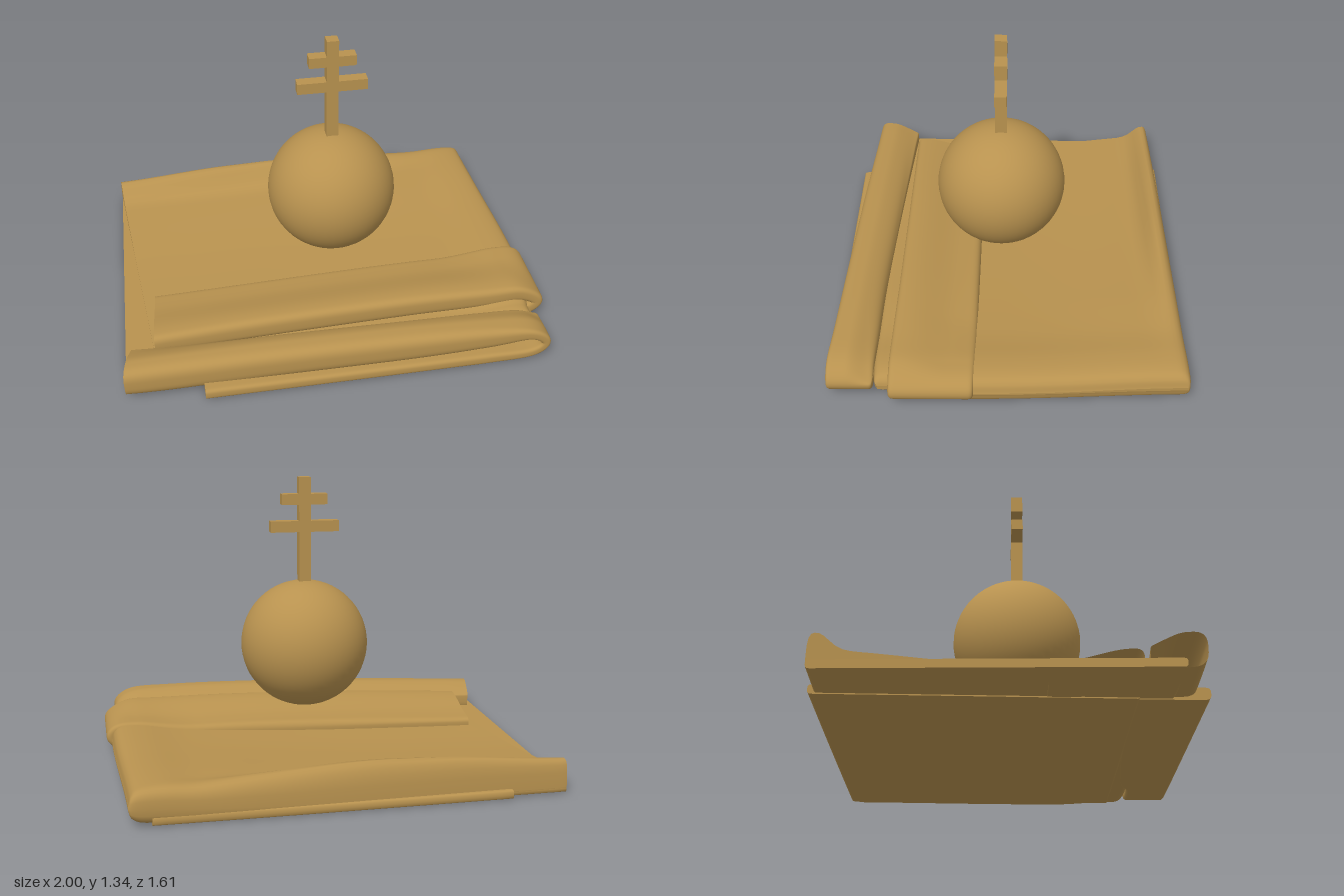
import * as THREE from 'three';

const material = new THREE.MeshStandardMaterial({ color: 0xb8924f, side: THREE.DoubleSide });

// Lofts a soft rounded cloth layer along a path in the x-y plane.
// Station: [x, y, half thickness, z start, z end]; deform(point, side) shapes it further.
// capRows lists the ends to close: 0 for the start, the step count for the end.
function clothLayer(name, stations, steps, capRows, deform) {
  const path = new THREE.CatmullRomCurve3(stations.map(s => new THREE.Vector3(s[0], s[1], s[2])), false, 'catmullrom', 0.5);
  const width = new THREE.CatmullRomCurve3(stations.map(s => new THREE.Vector3(s[3], s[4], 0)), false, 'catmullrom', 0.5);
  const n = 44, ring = 2 * n, positions = [], index = [];
  const p = new THREE.Vector3();
  for (let i = 0; i <= steps; i++) {
    const t = i / steps;
    const c = path.getPoint(t), w = width.getPoint(t), tan = path.getTangent(t);
    const len = Math.hypot(tan.x, tan.y) || 1;
    const nx = -tan.y / len, ny = tan.x / len;
    const half = Math.max(c.z, 0.001);
    for (let j = 0; j < ring; j++) {
      const side = j < n ? 1 : -1;
      const k = j < n ? j / n : 1 - (j - n) / n;
      const z = THREE.MathUtils.lerp(w.x, w.y, (1 - Math.cos(Math.PI * k)) / 2);
      const d = Math.min(z - w.x, w.y - z, half);
      const edge = Math.cbrt(Math.max(0, 1 - ((half - d) / half) ** 3));
      const off = side * half * edge;
      p.set(c.x + nx * off, c.y + ny * off, z);
      deform(p, side * edge);
      positions.push(p.x, p.y, p.z);
    }
  }
  for (let i = 0; i < steps; i++) {
    for (let j = 0; j < ring; j++) {
      const a = i * ring + j, b = i * ring + (j + 1) % ring;
      index.push(a, b, a + ring, b, b + ring, a + ring);
    }
  }
  for (const row of capRows) {
    const base = positions.length / 3;
    positions.push(...positions.slice(row * ring * 3, (row + 1) * ring * 3));
    for (let j = 0; j < n; j++) {
      const a = base + j, b = base + j + 1;
      const c = base + (ring - j) % ring, d = base + ring - j - 1;
      if (row === 0) index.push(a, c, b, b, c, d);
      else index.push(a, b, c, b, d, c);
    }
  }
  const geometry = new THREE.BufferGeometry();
  geometry.setAttribute('position', new THREE.Float32BufferAttribute(positions, 3));
  geometry.setIndex(index);
  geometry.computeVertexNormals();
  const mesh = new THREE.Mesh(geometry, material);
  mesh.name = name;
  return mesh;
}

function box(name, w, h, d, x, y, z) {
  const mesh = new THREE.Mesh(new THREE.BoxGeometry(w, h, d), material);
  mesh.position.set(x, y, z);
  mesh.name = name;
  return mesh;
}

const smooth = THREE.MathUtils.smoothstep;

export function createModel() {
  const model = new THREE.Group();

  const cloth = new THREE.Group();
  cloth.name = 'foldedCloth';
  model.add(cloth);

  // Bottom flap turned under from the left, with a slanted free edge
  cloth.add(clothLayer('bottomFlap', [
    [-0.68, 0.029, 0.02, -0.805, 0.52], [-0.2, 0.029, 0.02, -0.807, 0.52],
    [0.4, 0.03, 0.021, -0.808, 0.52], [0.84, 0.032, 0.022, -0.808, 0.52],
  ], 24, [0, 24], p => { p.x += 0.035 * p.z * smooth(-p.x, 0.2, 0.68); }));

  // Lower layer reaching the slanted right edge
  cloth.add(clothLayer('lowerLayer', [
    [-0.975, 0.03, 0.018, -0.775, 0.66], [-0.7, 0.032, 0.018, -0.78, 0.66],
    [-0.3, 0.036, 0.02, -0.788, 0.62], [0.4, 0.05, 0.025, -0.797, 0.59],
    [0.85, 0.055, 0.03, -0.8, 0.59],
  ], 24, [0, 24], p => { p.x -= 0.02 * (p.z + 0.2) * smooth(-p.x, 0.3, 1); }));

  // Main folded body: thin to the right, full at the left fold, with a raised back fold
  cloth.add(clothLayer('clothBody', [
    [-0.91, 0.036, 0.02, -0.775, 0.58], [-0.6, 0.039, 0.024, -0.782, 0.59],
    [-0.1, 0.046, 0.033, -0.792, 0.6], [0.35, 0.058, 0.045, -0.802, 0.6],
    [0.62, 0.069, 0.056, -0.806, 0.6], [0.79, 0.083, 0.071, -0.809, 0.6],
    [0.88, 0.086, 0.068, -0.81, 0.595], [0.92, 0.086, 0.045, -0.808, 0.59],
    [0.935, 0.086, 0.004, -0.8, 0.58],
  ], 90, [0, 90], (p, side) => {
    if (side > 0) {
      const ridge = Math.exp(-(((p.z + 0.74) / 0.065) ** 2)) * (1 - smooth(p.x, -0.2, 0.9));
      p.y += side * ridge * 0.1 * (0.7 + 0.3 * smooth(p.x, -0.95, -0.4));
      p.y += side * 0.025 * smooth(-p.z, 0, 0.7) * (1 - smooth(p.x, 0.4, 0.9));
      p.y += side * 0.008 * smooth(-p.z, 0.2, 0.7);
      p.y -= side * 0.03 * smooth(p.z, 0.48, 0.54) * smooth(p.x, 0.3, 0.8);
    }
    p.x += 0.085 * (p.z + 0.13) * smooth(-p.x, 0.4, 0.95);
    const bulge = 0.035 * smooth(p.z, -0.9, 0.15) - 0.05 * smooth(p.z, 0.25, 0.53);
    p.x += bulge * smooth(p.x, 0.4, 0.9);
  }));

  // Wide strip folded over the left end, open loop at the right end
  cloth.add(clothLayer('foldedStrip', [
    [0.3, 0.038, 0.026, 0.16, 0.525], [0.7, 0.038, 0.026, 0.16, 0.525],
    [0.88, 0.045, 0.028, 0.15, 0.525], [0.965, 0.1, 0.03, 0.15, 0.525],
    [0.88, 0.15, 0.035, 0.145, 0.525], [0.7, 0.145, 0.045, 0.14, 0.525],
    [0.3, 0.14, 0.05, 0.14, 0.52], [-0.3, 0.12, 0.05, 0.14, 0.518],
    [-0.84, 0.095, 0.045, 0.14, 0.518],
  ], 90, [0], (p, side) => {
    // Teardrop section: full at the front fold, sinking onto the body at the back edge
    const top = smooth(p.y, 0.09, 0.17) * smooth(-p.x, -0.98, -0.85);
    p.y += top * (0.027 * smooth(p.z, 0.25, 0.48) - 0.02);
    const sink = (1 - smooth(p.z, 0.12, 0.46)) * (1 - smooth(p.x, 0.55, 0.9));
    p.y = Math.max(0.012, p.y - sink * (0.035 + 0.045 * Math.max(side, 0)));
    p.x -= 0.06 * (p.z - 0.3) * smooth(-p.x, 0.3, 0.84);
  }));

  // Narrow front roll, doubled back under itself with open loops at both ends
  cloth.add(clothLayer('frontRoll', [
    [-0.65, 0.036, 0.026, 0.5, 0.803], [0, 0.036, 0.026, 0.5, 0.803],
    [0.5, 0.037, 0.026, 0.54, 0.803], [0.65, 0.038, 0.026, 0.59, 0.803],
    [0.85, 0.046, 0.022, 0.6, 0.803], [0.915, 0.1, 0.022, 0.598, 0.803],
    [0.84, 0.152, 0.028, 0.595, 0.803], [0.65, 0.143, 0.052, 0.59, 0.795],
    [0.3, 0.13, 0.068, 0.585, 0.785], [-0.3, 0.114, 0.073, 0.56, 0.765],
    [-0.8, 0.09, 0.075, 0.535, 0.745], [-0.96, 0.084, 0.071, 0.525, 0.737],
  ], 110, [0], p => {
    const fromBackEdge = p.z - 0.56 - 0.034 * p.x;
    p.y -= 0.04 * smooth(p.y, 0.09, 0.17) * (1 - smooth(fromBackEdge, 0, 0.13));
    p.x -= 0.2 * (p.z - 0.54) * smooth(-p.x, 0.8, 0.96);
  }));

  // Orb
  const orb = new THREE.Mesh(new THREE.SphereGeometry(0.301, 48, 32), material);
  orb.position.set(0.048, 0.557, 0.036);
  orb.name = 'orb';
  model.add(orb);

  // Double-barred cross
  const cross = new THREE.Group();
  cross.name = 'cross';
  cross.add(
    box('crossPost', 0.055, 0.52, 0.055, 0.048, 1.086, 0.036),
    box('upperBar', 0.216, 0.05, 0.055, 0.048, 1.243, 0.036),
    box('lowerBar', 0.324, 0.052, 0.055, 0.048, 1.116, 0.036),
  );
  model.add(cross);

  return model;
}
